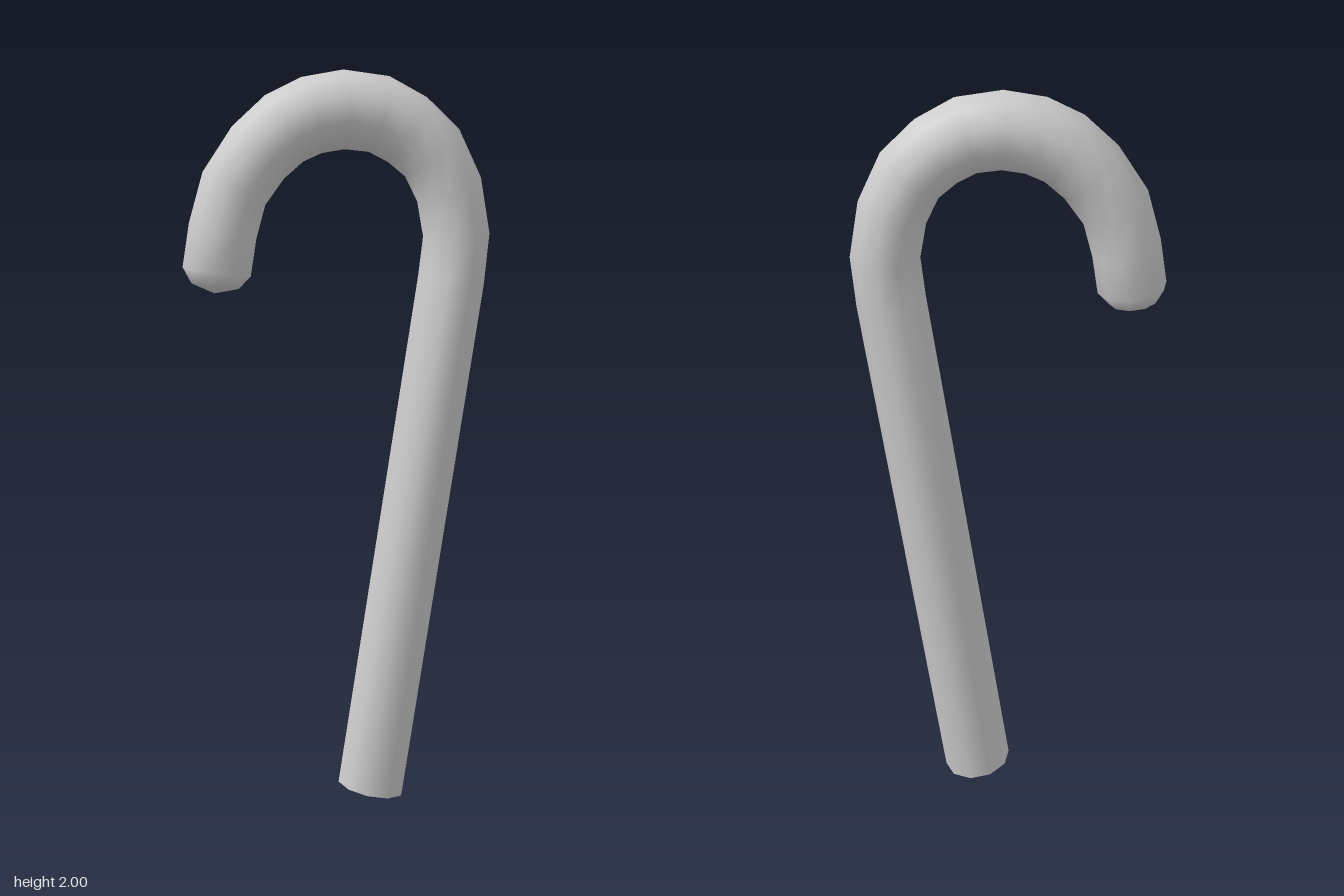
import * as THREE from 'three';

const SIDES = 10;
const RADIUS = new THREE.Vector3(0.0925, 0.105, 0.1105);

// Centre line [x, y, scale] from the foot, up the stem and round the hook to its tip
const PATH = [
  [0.09, 0.017, 1], [0.31, 1.44, 1], [0.323, 1.56, 1], [0.302, 1.682, 1],
  [0.255, 1.78, 1], [0.187, 1.842, 1], [0.11, 1.883, 1], [0.015, 1.895, 1],
  [-0.072, 1.88, 1], [-0.145, 1.845, 1], [-0.215, 1.782, 1], [-0.28, 1.687, 1],
  [-0.311, 1.575, 1], [-0.328, 1.466, 1], [-0.332, 1.428, 0.7],
];
const TIP = [-0.335, 1.408, -0.0145];

// The stem stands slightly forward and the hook drifts back
const depthAt = (x, i) => (i === 0 ? 0.0125 : 0.0125 + (x - 0.32) * 0.041);

function ring(i) {
  const [x, y, scale] = PATH[i];
  const direction = (a, b) => new THREE.Vector2(b[0] - a[0], b[1] - a[1]).normalize();
  const tangent = new THREE.Vector2();
  if (i > 0) tangent.add(direction(PATH[i - 1], PATH[i]));
  if (i < PATH.length - 1) tangent.add(direction(PATH[i], PATH[i + 1]));
  tangent.normalize();
  const points = [];
  for (let j = 0; j < SIDES; j++) {
    const a = (j / SIDES) * Math.PI * 2;
    const offset = new THREE.Vector3(
      tangent.y * Math.cos(a), -tangent.x * Math.cos(a), Math.sin(a),
    ).multiply(RADIUS).multiplyScalar(scale);
    points.push(x + offset.x, y + offset.y, depthAt(x, i) + offset.z);
  }
  return points;
}

function buildGeometry(positions, indices) {
  const geometry = new THREE.BufferGeometry();
  geometry.setAttribute('position', new THREE.Float32BufferAttribute(positions, 3));
  geometry.setIndex(indices);
  geometry.computeVertexNormals();
  return geometry;
}

export function createModel() {
  const group = new THREE.Group();
  group.name = 'hookedCane';
  const paleGrey = new THREE.MeshStandardMaterial({ color: 0xcccccc });
  paleGrey.name = 'paleGrey';

  // Stem and hook as one smooth tube with a rounded tip
  const positions = PATH.flatMap((_, i) => ring(i));
  const indices = [];
  const tip = PATH.length * SIDES;
  for (let i = 0; i < PATH.length; i++) {
    for (let j = 0; j < SIDES; j++) {
      const a = i * SIDES + j;
      const b = i * SIDES + (j + 1) % SIDES;
      if (i === PATH.length - 1) indices.push(a, tip, b);
      else indices.push(a, a + SIDES, b, b, a + SIDES, b + SIDES);
    }
  }
  positions.push(...TIP);
  const cane = new THREE.Mesh(buildGeometry(positions, indices), paleGrey);
  cane.name = 'stemAndHook';
  group.add(cane);

  // Flat foot
  const footIndices = [];
  for (let j = 0; j < SIDES; j++) footIndices.push(SIDES, j, (j + 1) % SIDES);
  const footPoints = [...ring(0), PATH[0][0], PATH[0][1], depthAt(PATH[0][0], 0)];
  const foot = new THREE.Mesh(buildGeometry(footPoints, footIndices), paleGrey);
  foot.name = 'footCap';
  group.add(foot);

  return group;
}
